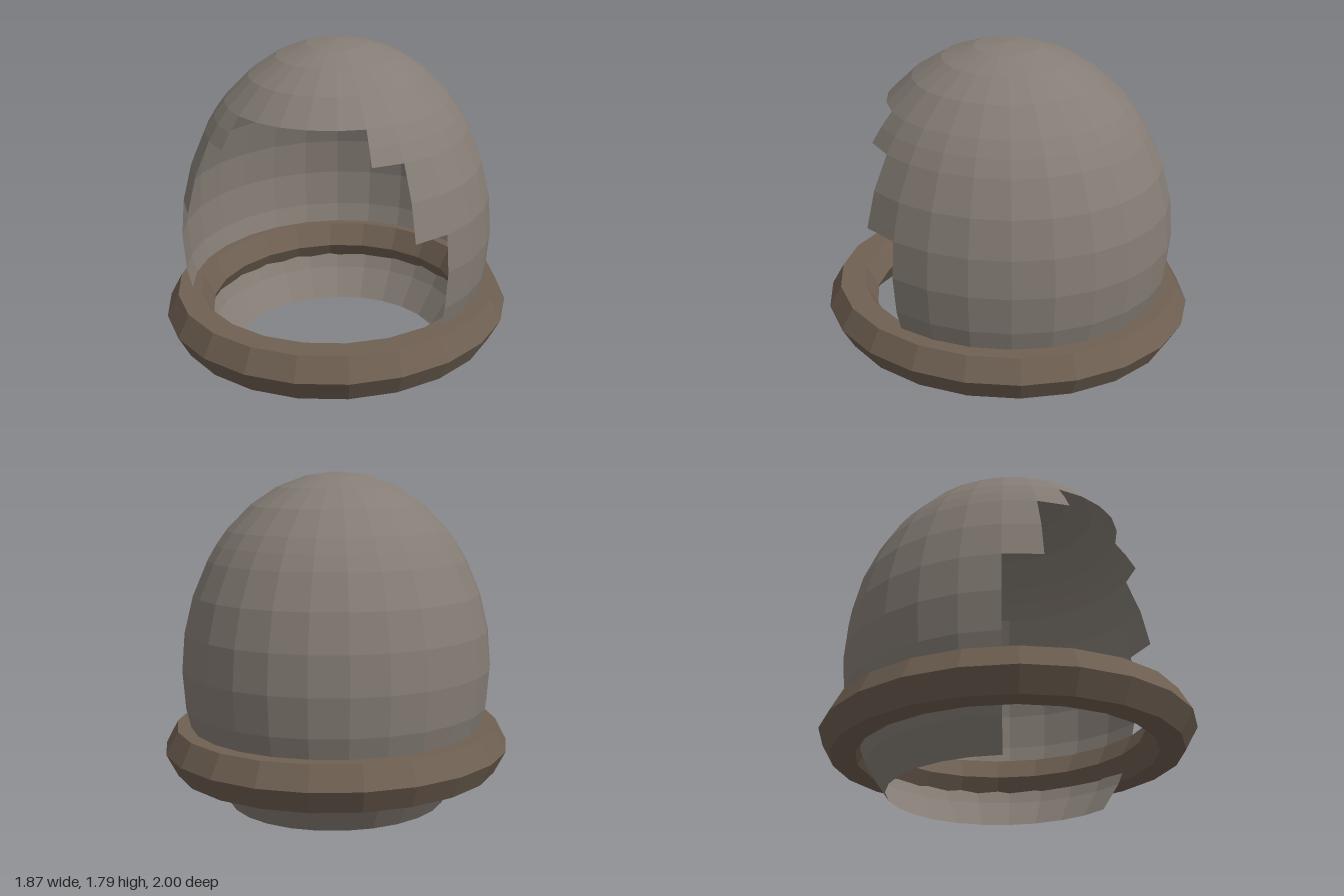
import * as THREE from 'three';

const SIDES = 26;              // columns around the shell
const ROWS = 16;               // rows of a full sphere, pole to pole
const COL = (Math.PI * 2) / SIDES;
const ROW = Math.PI / ROWS;

export function createModel() {
  const model = new THREE.Group();
  model.name = 'helmet';

  const shellMaterial = new THREE.MeshStandardMaterial({
    color: 0x857d75, flatShading: true, side: THREE.DoubleSide,
  });
  const ringMaterial = new THREE.MeshStandardMaterial({ color: 0x6f6052, flatShading: true });

  // Thin egg-shaped shell, made of bands whose front opening widens downwards
  const shell = new THREE.Group();
  shell.name = 'shell';
  // [name, first row, row count, column where the opening starts (null = closed)]
  const bands = [
    ['crown', 0, 4, null],
    ['brow', 4, 1, 4],
    ['temples', 5, 2, 3],
    ['cheeksAndNeck', 7, 5, 2],
  ];
  for (const [name, row, rows, open] of bands) {
    const columns = open === null ? SIDES : SIDES / 2 + 2 * open;
    const start = open === null ? 0 : SIDES / 2 - open;
    const geometry = new THREE.SphereGeometry(
      1, columns, rows, start * COL, columns * COL, row * ROW, rows * ROW);
    geometry.scale(0.835, 1.0486, 0.9016);
    geometry.translate(0, 0.7414, 0);
    const band = new THREE.Mesh(geometry, shellMaterial);
    band.name = name;
    shell.add(band);
  }
  model.add(shell);

  // Six-sided collar ring around the neck
  const ringGeometry = new THREE.TorusGeometry(0.875, 0.135, 6, 22);
  ringGeometry.rotateX(Math.PI / 2);
  ringGeometry.scale(0.926, 1.026, 1);
  const ring = new THREE.Mesh(ringGeometry, ringMaterial);
  ring.name = 'collarRing';
  ring.position.y = 0.31;
  model.add(ring);

  return model;
}
